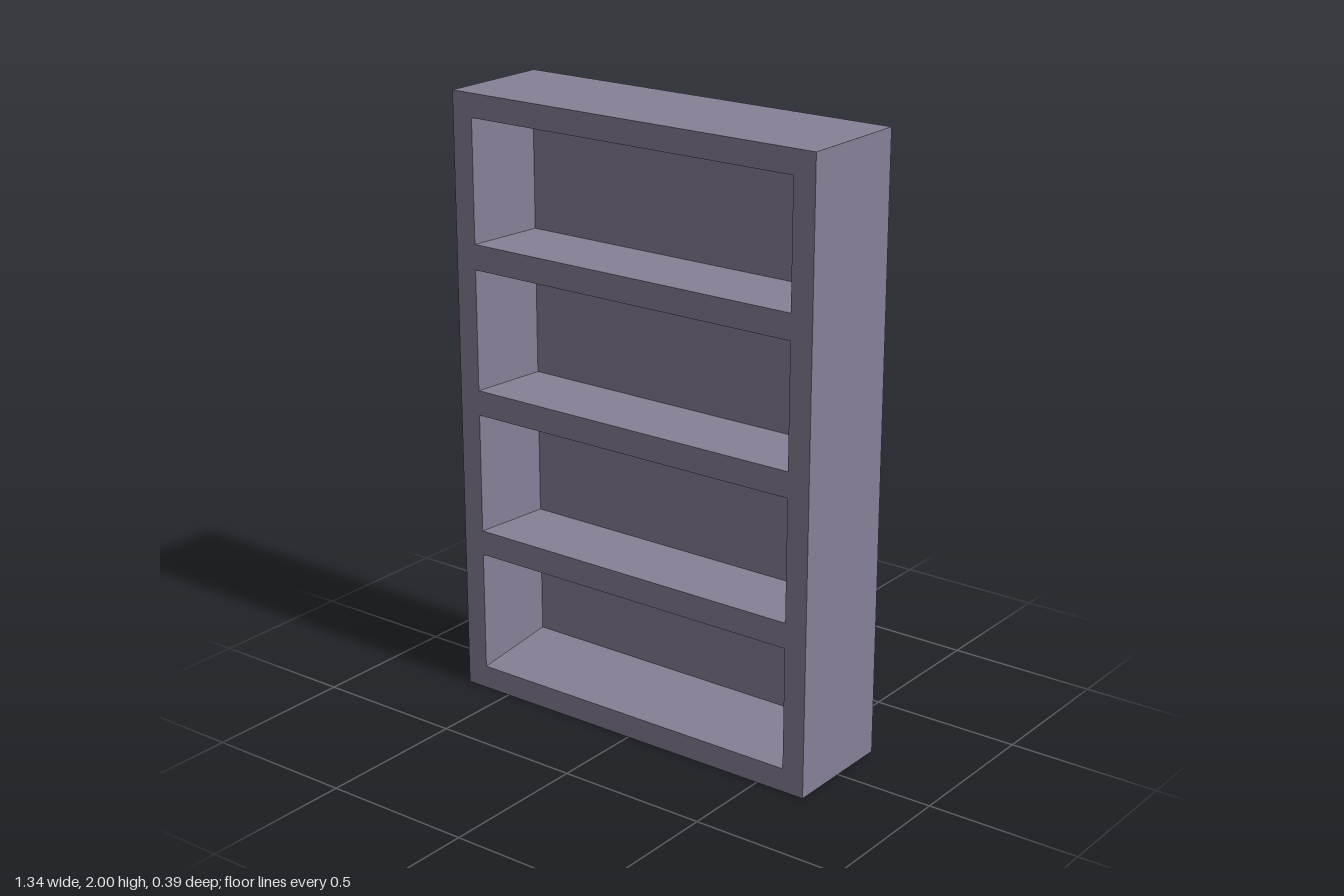
import * as THREE from 'three';

const W = 0.67, H = 2, D = 0.193;      // half width, height, half depth
const OPEN = 0.595, INNER = 0.569;     // half width of the openings, front and back
const BACK = -0.067;                   // z of the recessed back panel
const RAIL = 0.077, RAIL_BACK = 0.132; // rail thickness, front and back

// Prism from a list of [a, b] points, centred along its extrusion
function prism(points, length) {
  const shape = new THREE.Shape(points.map(([a, b]) => new THREE.Vector2(a, b)));
  return new THREE.ExtrudeGeometry(shape, { depth: length, bevelEnabled: false })
    .translate(0, 0, -length / 2);
}

export function createModel() {
  const group = new THREE.Group();
  group.name = 'bookcase';
  const paint = new THREE.MeshStandardMaterial({ color: 0x878097 });
  paint.name = 'greyViolet';

  function add(name, geometry, x, y, z) {
    const mesh = new THREE.Mesh(geometry, paint);
    mesh.name = name;
    mesh.position.set(x, y, z);
    group.add(mesh);
  }

  // Side walls, thicker towards the back panel
  for (const [name, s] of [['leftWall', 1], ['rightWall', -1]]) {
    const profile = [[W, -D], [OPEN, -D], [INNER, -BACK], [INNER, D], [W, D]]
      .map(([x, b]) => [s * x, b]);
    add(name, prism(profile, H).rotateX(-Math.PI / 2), 0, H / 2, 0);
  }

  // Top and bottom rails with sloped inner faces
  for (const [name, s, y] of [['bottomRail', 1, 0], ['topRail', -1, H]]) {
    const profile = [[-D, 0], [D, 0], [D, RAIL_BACK], [-BACK, RAIL_BACK], [-D, RAIL]]
      .map(([a, b]) => [a, s * b]);
    add(name, prism(profile, OPEN * 2).rotateY(Math.PI / 2), 0, y, 0);
  }

  // Back panel
  add('backPanel', new THREE.BoxGeometry(INNER * 2, H - RAIL_BACK * 2, D + BACK),
    0, H / 2, (BACK - D) / 2);

  // Three evenly spaced shelves
  for (let i = -1; i <= 1; i++) {
    add('shelf' + (i + 2), new THREE.BoxGeometry(OPEN * 2, 0.083, D - BACK),
      0, H / 2 + i * 0.481, (D + BACK) / 2);
  }
  return group;
}
